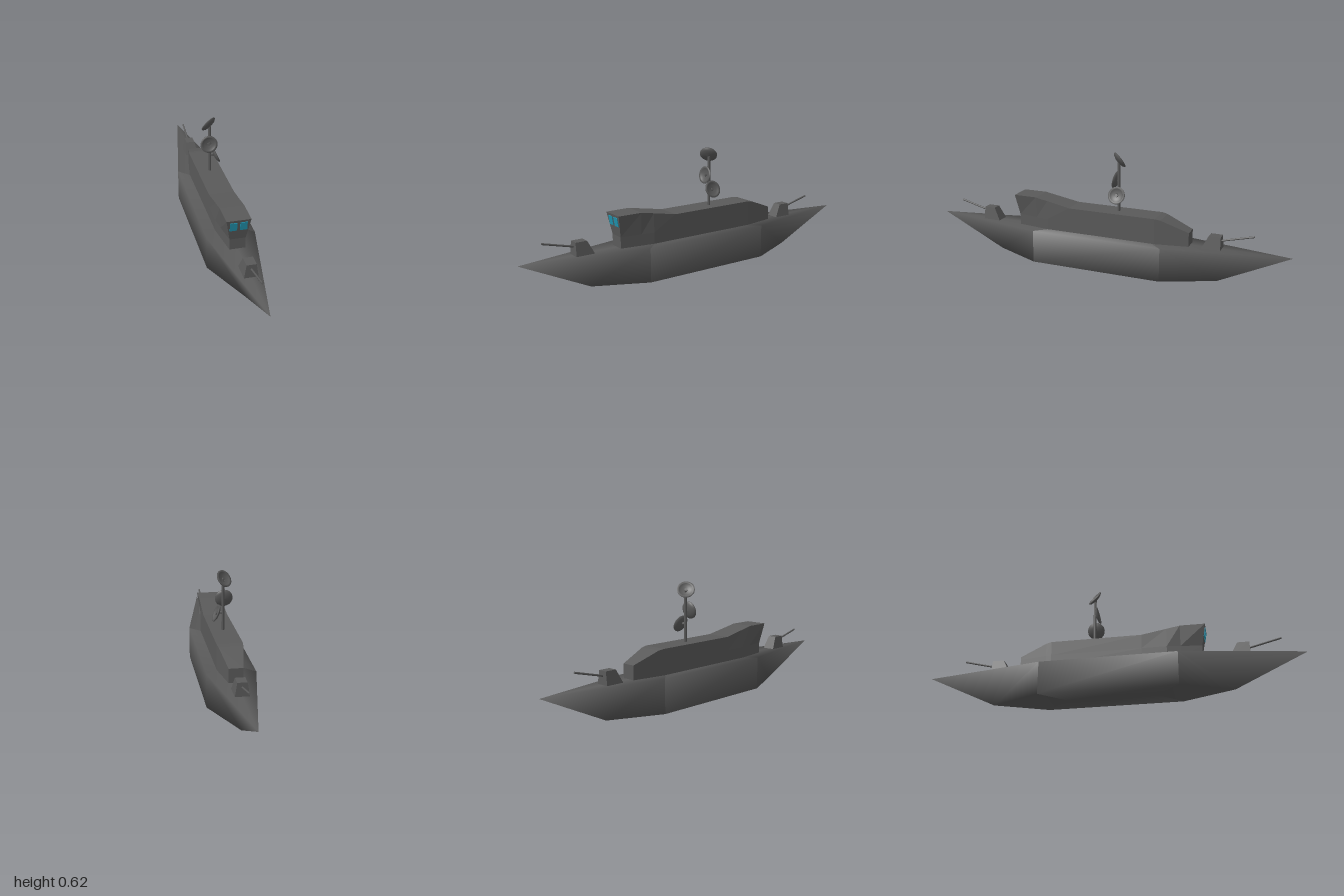
import * as THREE from 'three';

const grey = new THREE.MeshStandardMaterial({ color: 0x5a5a5a });
grey.name = 'hull grey';
const teal = new THREE.MeshStandardMaterial({ color: 0x2298b4 });
teal.name = 'window teal';

const DECK = 0.177, W = 0.124;

function mesh(name, geometry, material = grey) {
  const m = new THREE.Mesh(geometry, material);
  m.name = name;
  return m;
}

// polygons (3 or 4 corners) to an indexed, smooth-shaded geometry
function polyGeometry(points, faces) {
  const g = new THREE.BufferGeometry();
  g.setAttribute('position', new THREE.Float32BufferAttribute(points.flat(), 3));
  const index = [];
  for (const [a, b, c, d] of faces) {
    index.push(a, b, c);
    if (d !== undefined) index.push(a, c, d);
  }
  g.setIndex(index);
  g.computeVertexNormals();
  return g;
}

// faceted body through mirrored cross-sections, front to back;
// each section lists [half width, y, z] from bottom to top
function loft(sections) {
  const n = sections[0].length * 2;
  const points = [], faces = [];
  for (const s of sections) {
    points.push(...s, ...s.map(([x, y, z]) => [-x, y, z]).reverse());
  }
  for (let i = 0; i < sections.length - 1; i++) {
    for (let j = 0; j < n; j++) {
      const k = (j + 1) % n, f = i * n, b = f + n;
      faces.push([f + j, b + j, b + k, f + k]);
    }
  }
  const last = (sections.length - 1) * n;
  for (let k = 0; k < n / 2 - 1; k++) {
    const q = [k, k + 1, n - 2 - k, n - 1 - k];
    faces.push(q, q.map(v => v + last).reverse());
  }
  const g = polyGeometry(points, faces).toNonIndexed();
  g.computeVertexNormals();
  return g;
}

function rod(name, from, to, radius) {
  const a = new THREE.Vector3(...from), b = new THREE.Vector3(...to);
  const m = mesh(name, new THREE.CylinderGeometry(radius, radius, a.distanceTo(b), 12));
  m.position.copy(a).add(b).multiplyScalar(0.5);
  m.quaternion.setFromUnitVectors(new THREE.Vector3(0, 1, 0), b.sub(a).normalize());
  return m;
}

function hull() {
  const g = new THREE.Group();
  g.name = 'hull';
  // middle section with notched ends
  const plan = [[W, 0.36], [0, 0.23], [-W, 0.36], [-W, -0.36], [0, -0.23], [W, -0.36]];
  const pts = [DECK, 0].flatMap(y => plan.map(([x, z]) => [x, y, z]));
  g.add(mesh('midHull', polyGeometry(pts, [
    [0, 5, 4, 1], [1, 4, 3, 2], [7, 10, 11, 6], [8, 9, 10, 7], [6, 11, 5, 0], [9, 8, 2, 3],
  ])));
  // pointed ends
  const end = [
    [0, DECK, 1], [W, DECK, 0.36], [0, DECK, 0.23], [-W, DECK, 0.36],
    [0, 0, 0.63], [W, 0, 0.36], [0, 0, 0.23], [-W, 0, 0.36],
  ];
  const endGeometry = polyGeometry(end, [
    [0, 1, 2, 3], [7, 6, 5, 4], [1, 0, 4], [1, 4, 5], [3, 7, 4], [3, 4, 0],
  ]);
  const bow = mesh('bow', endGeometry), stern = mesh('stern', endGeometry);
  stern.rotation.y = Math.PI;
  g.add(bow, stern);
  return g;
}

function superstructure() {
  const g = new THREE.Group();
  g.name = 'superstructure';
  const section = (z, low, high, top) => [[low, DECK, z], [low, 0.235, z], [high, top, z]];
  g.add(mesh('cabin', loft([
    [[0.04, DECK, 0.48], [0.04, 0.235, 0.48], [0.061, 0.348, 0.5]],
    section(0.37, 0.056, 0.062, 0.348),
    section(0.3, 0.066, 0.063, 0.335),
    section(0.17, 0.066, 0.066, 0.311),
    section(-0.31, 0.066, 0.066, 0.311),
    section(-0.34, 0.061, 0.061, 0.306),
    section(-0.485, 0.036, 0.036, 0.25),
  ])));
  // bridge windows on the slanted front
  for (const s of [1, -1]) {
    const w = mesh('window', new THREE.BoxGeometry(0.036, 0.047, 0.004), teal);
    w.position.set(s * 0.025, 0.312, 0.4945);
    w.rotation.x = 0.175;
    g.add(w);
  }
  return g;
}

function turret(name) {
  const g = new THREE.Group();
  g.name = name;
  g.add(mesh('gunHouse', loft([
    [[0.035, DECK, 0.718], [0.024, 0.245, 0.716]],
    [[0.035, DECK, 0.62], [0.024, 0.245, 0.655]],
  ])));
  g.add(rod('gunBarrel', [0, 0.217, 0.7], [0, 0.262, 0.878], 0.005));
  return g;
}

function dish(name, position, facing) {
  const g = new THREE.Group();
  g.name = name;
  const profile = [
    [0, -0.013], [0.02, -0.011], [0.036, -0.007], [0.046, 0], [0.046, 0.005],
    [0.037, 0.005], [0.036, 0.003], [0.022, -0.003], [0, -0.006],
  ].map(p => new THREE.Vector2(...p));
  g.add(mesh('bowl', new THREE.LatheGeometry(profile, 28)));
  g.add(rod('feed', [0, -0.006, 0], [0, 0.003, 0], 0.008));
  g.position.set(...position);
  g.quaternion.setFromUnitVectors(new THREE.Vector3(0, 1, 0), new THREE.Vector3(...facing).normalize());
  return g;
}

function mast() {
  const g = new THREE.Group();
  g.name = 'radarMast';
  const z = -0.09;
  g.add(rod('pole', [0, 0.3, z], [0, 0.573, z], 0.008));
  g.add(rod('strut', [0, 0.405, z], [0.026, 0.405, z], 0.007));
  g.add(rod('strut', [0, 0.475, z], [0, 0.475, -0.075], 0.007));
  g.add(dish('topDish', [-0.005, 0.583, z], [-0.55, 0.55, -0.62]));
  g.add(dish('frontDish', [-0.008, 0.475, -0.071], [0, 0.2, 0.98]));
  g.add(dish('sideDish', [0.033, 0.402, z], [0.92, 0.39, 0]));
  return g;
}

export function createModel() {
  const model = new THREE.Group();
  model.name = 'warship';
  const rear = turret('rearTurret');
  rear.rotation.y = Math.PI;
  rear.position.z = 0.07;
  model.add(hull(), superstructure(), turret('frontTurret'), rear, mast());
  return model;
}
